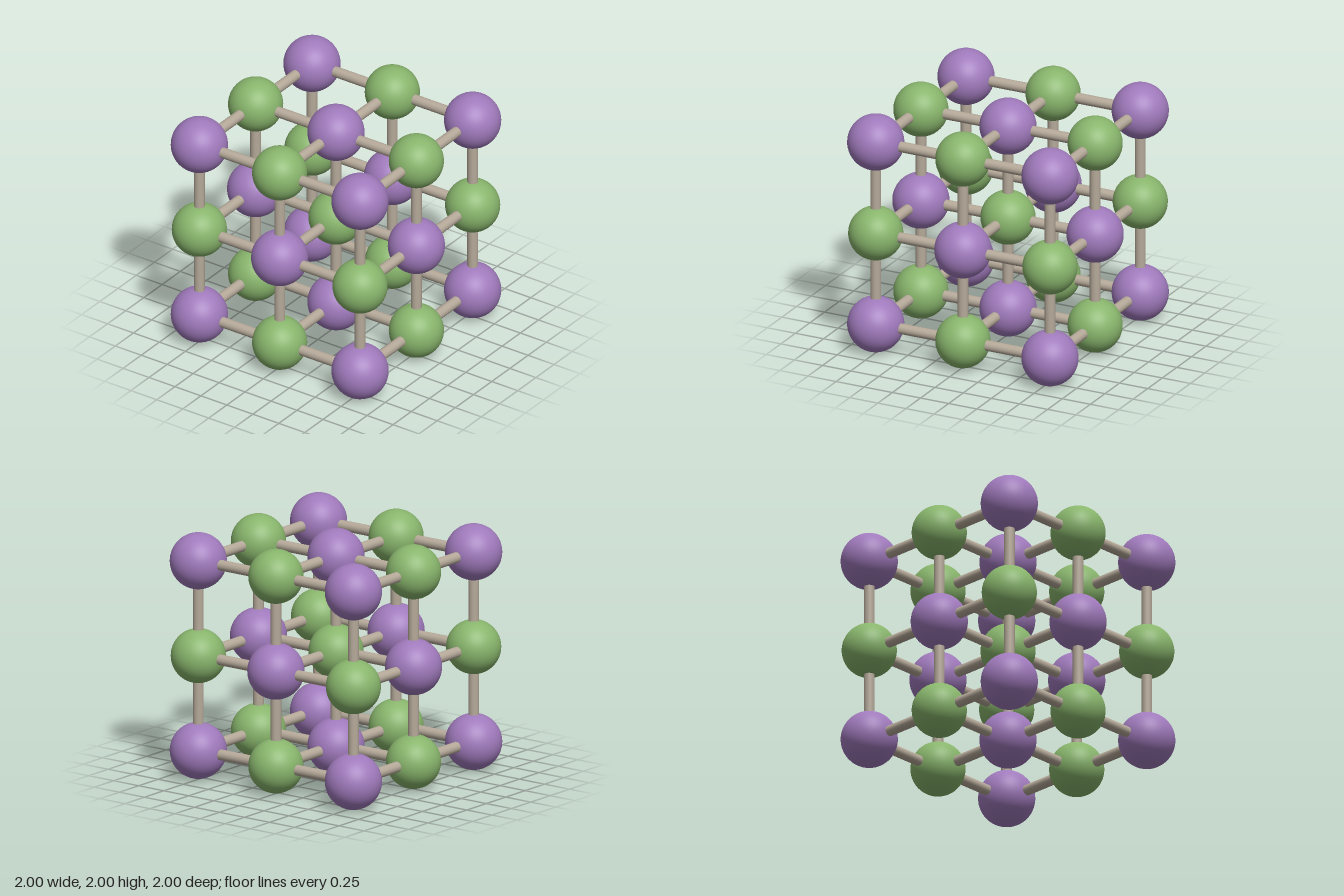
import * as THREE from 'three';

const SPACING = 0.774;
const LARGE_R = 0.226;
const SMALL_R = 0.218;
const ROD_R = 0.043;

function material(name, color) {
  const m = new THREE.MeshStandardMaterial({ color });
  m.name = name;
  return m;
}

export function createModel() {
  const model = new THREE.Group();
  model.name = 'crystalLattice';

  const purple = material('purple', 0xa07abc);
  const green = material('green', 0x88b56c);
  const beige = material('beige', 0xb5a999);

  const largeSphere = new THREE.SphereGeometry(LARGE_R, 48, 32);
  const smallSphere = new THREE.SphereGeometry(SMALL_R, 48, 32);
  const rod = new THREE.CylinderGeometry(ROD_R, ROD_R, SPACING, 24, 1, true);

  const add = (name, geometry, mat, x, y, z) => {
    const mesh = new THREE.Mesh(geometry, mat);
    mesh.name = name;
    mesh.position.set(x * SPACING, 1 + y * SPACING, z * SPACING);
    model.add(mesh);
    return mesh;
  };

  const steps = [-1, 0, 1];
  for (const x of steps) for (const y of steps) for (const z of steps) {
    // Two kinds of atom alternate through the 3 x 3 x 3 grid
    if ((x + y + z) % 2 !== 0) add('largeAtom', largeSphere, purple, x, y, z);
    else add('smallAtom', smallSphere, green, x, y, z);

    // Bonds to the next atom along each axis
    if (x < 1) add('bondX', rod, beige, x + 0.5, y, z).rotation.z = Math.PI / 2;
    if (y < 1) add('bondY', rod, beige, x, y + 0.5, z);
    if (z < 1) add('bondZ', rod, beige, x, y, z + 0.5).rotation.x = Math.PI / 2;
  }

  return model;
}
